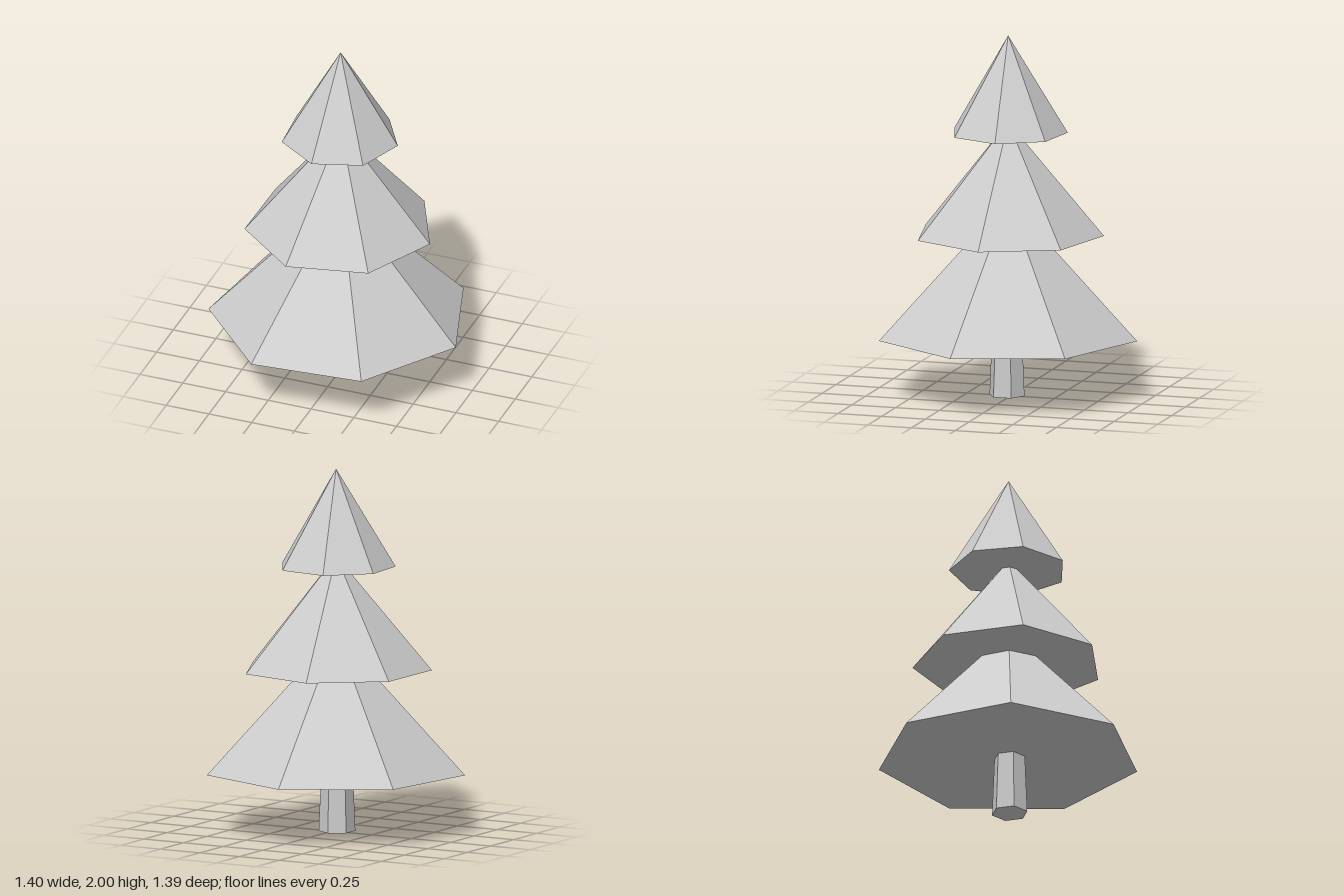
import * as THREE from 'three';

export function createModel() {
  const group = new THREE.Group();
  group.name = 'pineTree';
  const grey = new THREE.MeshStandardMaterial({ color: 0xcccccc });
  grey.name = 'light grey';

  // Turn a geometry into flat facets and place it as a named part
  function add(name, geometry, x, y, z) {
    const flat = geometry.toNonIndexed();
    flat.computeVertexNormals();
    const mesh = new THREE.Mesh(flat, grey);
    mesh.name = name;
    mesh.position.set(x, y, z);
    group.add(mesh);
  }

  // Tapered six-sided trunk
  const trunkHeight = 0.34;
  add('trunk', new THREE.CylinderGeometry(0.086, 0.1, trunkHeight, 6), -0.016, trunkHeight / 2, 0.026);

  // Three seven-sided foliage tiers, each twisted a little further
  const tiers = [
    { name: 'lowerFoliage', radius: 0.722, base: 0.333, tip: 1.093, twist: 30.2 },
    { name: 'middleFoliage', radius: 0.525, base: 0.895, tip: 1.52, twist: 37.9 },
    { name: 'upperFoliage', radius: 0.325, base: 1.46, tip: 2, twist: 43.3 },
  ];
  for (const { name, radius, base, tip, twist } of tiers) {
    const cone = new THREE.ConeGeometry(radius, tip - base, 7, 1, false, THREE.MathUtils.degToRad(twist));
    add(name, cone, -0.014, (base + tip) / 2, 0.019);
  }
  return group;
}
